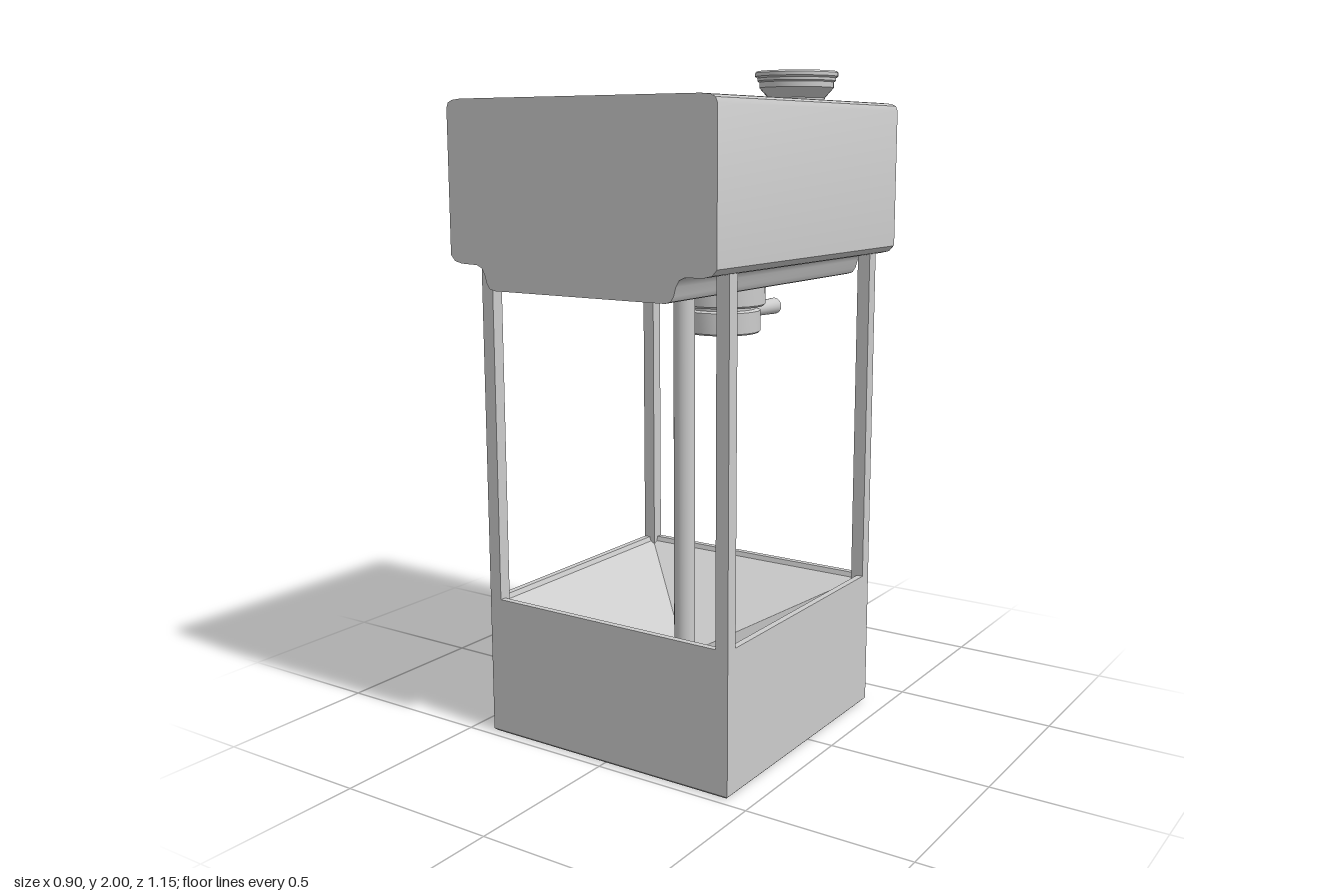
import * as THREE from 'three';
import { toCreasedNormals } from 'three/addons/utils/BufferGeometryUtils.js';

const grey = new THREE.MeshStandardMaterial({ color: 0xcccccc, side: THREE.DoubleSide });

export function createModel() {
  const model = new THREE.Group();

  const add = (name, geometry, x = 0, y = 0, z = 0) => {
    const mesh = new THREE.Mesh(geometry, grey);
    mesh.name = name;
    mesh.position.set(x, y, z);
    model.add(mesh);
    return mesh;
  };
  const vectors = pts => pts.map(([a, b]) => new THREE.Vector2(a, b));
  // Closed shape from one half, mirrored in x
  const mirrored = half => new THREE.Shape(vectors(
    [...half, ...half.slice().reverse().filter(p => p[0] > 0).map(([x, y]) => [-x, y])]));
  const turned = (pts, sides = 40) => toCreasedNormals(new THREE.LatheGeometry(vectors(pts), sides), 0.6);
  // Plan outline (x, distance towards the back) raised to a height
  const raised = (half, height) => toCreasedNormals(
    new THREE.ExtrudeGeometry(mirrored(half), { depth: height, bevelEnabled: false }).rotateX(-Math.PI / 2), 0.6);

  const midZ = 0.05;

  // Square base with a funnel-shaped tray
  const q = Math.SQRT2;
  const base = turned([[0, 0], [0.418 * q, 0], [0.425 * q, 0.007], [0.425 * q, 0.43],
    [0.405 * q, 0.43], [0.4 * q, 0.415], [0, 0.2]], 4);
  base.rotateY(Math.PI / 4);
  add('base', base, 0, 0, midZ);

  // Corner posts and central pole
  for (const sx of [-1, 1]) for (const sz of [-1, 1]) {
    add('cornerPost', new THREE.BoxGeometry(0.04, 1.08, 0.04), sx * 0.405, 0.94, midZ + sz * 0.405);
  }
  add('centralPole', new THREE.CylinderGeometry(0.033, 0.033, 1.24, 24), 0, 0.78, midZ);

  // Head: stepped section swept front to back, rounded at the back end
  const section = mirrored([[0.29, 1.38], [0.308, 1.385], [0.318, 1.4], [0.325, 1.425], [0.335, 1.442],
    [0.352, 1.45], [0.41, 1.452], [0.435, 1.458], [0.45, 1.475],
    [0.45, 1.885], [0.444, 1.9], [0.43, 1.907], [0.4, 1.91]]);
  const steps = 6, r = 0.035;
  const head = new THREE.ExtrudeGeometry(section, { depth: steps, steps, bevelEnabled: false });
  const p = head.attributes.position;
  for (let i = 0; i < p.count; i++) {
    const k = Math.round(p.getZ(i));
    const a = Math.min(k / (steps - 1), 1) * Math.PI / 2;
    const inset = r * (1 - Math.sin(a));
    p.setX(i, p.getX(i) * (1 - inset / 0.45));
    p.setY(i, p.getY(i) + inset * (1.91 - p.getY(i)) / 0.53);
    p.setZ(i, k === steps ? 0.575 : -0.48 + r * (1 - Math.cos(a)));
  }
  add('head', toCreasedNormals(head, 0.7));

  // Filler cap on top of the head
  add('fillerCap', turned([[0.085, 1.9], [0.085, 1.922], [0.112, 1.952], [0.112, 1.968], [0.118, 1.972],
    [0.118, 1.98], [0.125, 1.985], [0.125, 1.995], [0.12, 2], [0, 2]]), 0.22, 0, -0.23);

  // Dispensing valve under the head, with an open spout
  add('valve', turned([[0, 1.26], [0.055, 1.26], [0.055, 1.205], [0.115, 1.205], [0.12, 1.21], [0.12, 1.275],
    [0.105, 1.28], [0.105, 1.29], [0.13, 1.29], [0.136, 1.296], [0.136, 1.39]]), 0, 0, -0.165);
  const lever = add('valveLever', new THREE.CylinderGeometry(0.027, 0.018, 0.23, 20), 0, 1.256, -0.375);
  lever.rotation.x = -Math.PI / 2;

  // Bow-fronted bin at the back, with its lid
  const bow = [[0.295, 0.36], [0.295, 0.435], [0.285, 0.45]];
  for (let i = 1; i <= 8; i++) {
    const x = 0.285 * (1 - i / 8);
    bow.push([x, 0.525 - 0.075 * (x / 0.285) ** 2]);
  }
  add('bin', raised(bow, 0.315));
  add('binLid', raised([[0.31, 0.37], [0.31, 0.47], [0.28, 0.53], [0.18, 0.565], [0, 0.578]], 0.033), 0, 0.312);

  // Small framed pull on the bin
  const frame = new THREE.Shape(vectors([[-0.032, -0.018], [0.032, -0.018], [0.032, 0.018], [-0.032, 0.018]]));
  frame.holes.push(new THREE.Path(vectors([[-0.022, -0.009], [-0.022, 0.009], [0.022, 0.009], [0.022, -0.009]])));
  const pull = add('binPull',
    new THREE.ExtrudeGeometry(frame, { depth: 0.045, bevelEnabled: false }), -0.13, 0.2, -0.545);
  pull.rotation.y = 0.2;

  return model;
}
